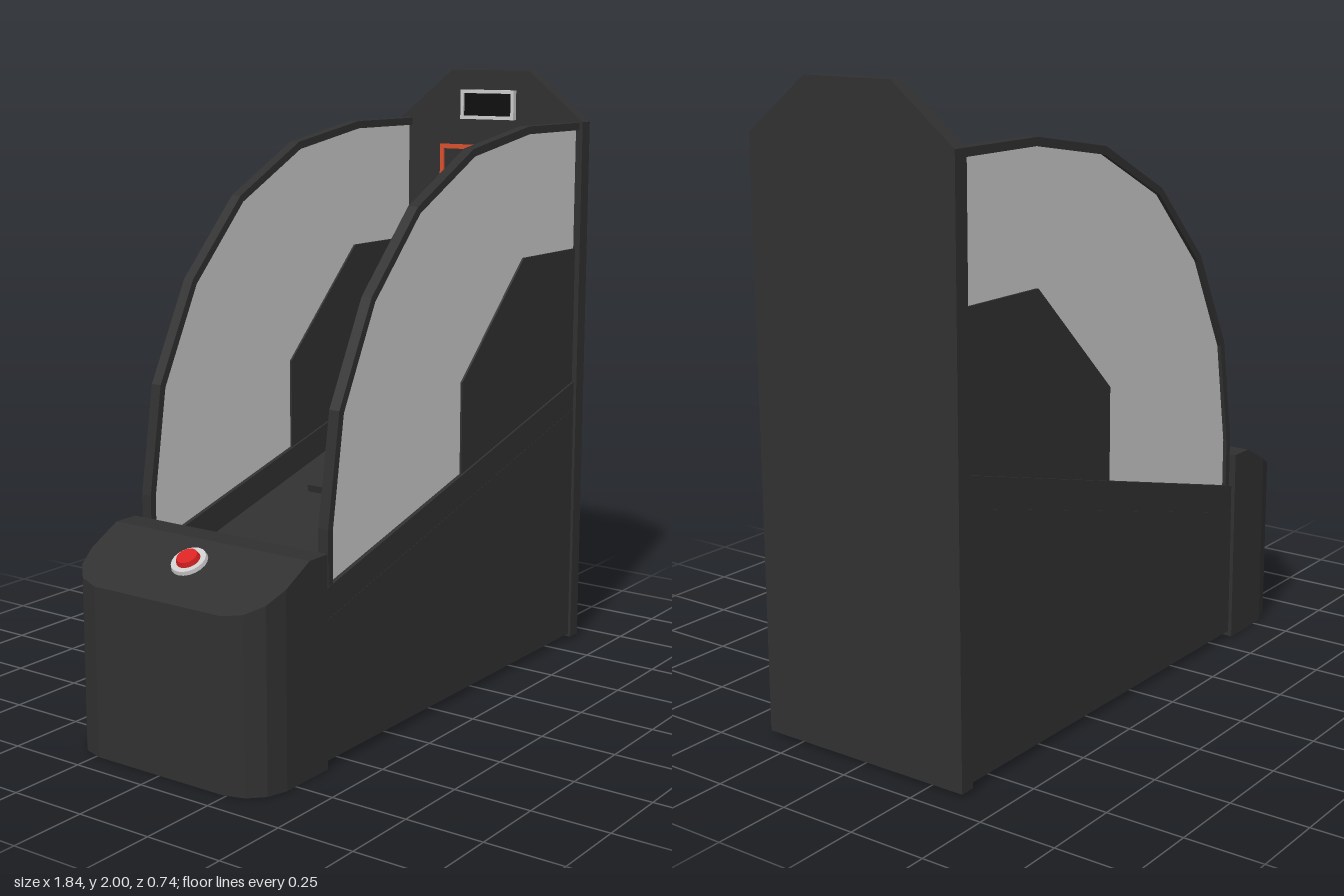
import * as THREE from 'three';

const material = (color, extra = {}) => new THREE.MeshStandardMaterial({ color, flatShading: true, ...extra });
const dark = material(0x303030);
const black = material(0x0c0c0c);
const grey = material(0xcccccc);
const orange = material(0xd8502c);
const red = material(0xd82222);

function add(parent, name, geometry, mat, x = 0, y = 0, z = 0) {
  const mesh = new THREE.Mesh(geometry, mat);
  mesh.name = name;
  mesh.position.set(x, y, z);
  parent.add(mesh);
  return mesh;
}

const outline = pts => new THREE.Shape(pts.map(p => new THREE.Vector2(...p)));

// Slab with an x-y outline, centred on z = 0
function slab(pts, depth) {
  const g = new THREE.ExtrudeGeometry(outline(pts), { depth, bevelEnabled: false });
  return g.translate(0, 0, -depth / 2);
}

// Plate with a z-y outline, growing towards +x
function plate(shape, depth) {
  return new THREE.ExtrudeGeometry(shape, { depth, bevelEnabled: false }).rotateY(Math.PI / 2);
}

// Rectangular border in the z-y plane
function border(halfWidth, low, high, line, depth) {
  const w = halfWidth, i = w - line;
  const shape = outline([[-w, low], [w, low], [w, high], [-w, high]]);
  shape.holes.push(outline([[-i, low + line], [-i, high - line], [i, high - line], [i, low + line]]));
  return plate(shape, depth);
}

const FRONT = -0.59, BACK = 0.865;
const rampY = x => 0.45 + (x - FRONT) * 0.268;
const railY = x => rampY(x) + 0.095;
const slope = Math.atan(0.268);

// Outer and inner edge of the curved rim around each side window
const rimOuter = [[-0.575, 0.55], [-0.575, 0.72], [-0.52, 1.06], [-0.36, 1.37],
  [-0.12, 1.615], [0.19, 1.772], [0.53, 1.828], [BACK, 1.828]];
const rimInner = [[-0.552, 0.55], [-0.552, 0.715], [-0.498, 1.05], [-0.342, 1.355],
  [-0.107, 1.595], [0.198, 1.748], [0.533, 1.803], [BACK, 1.803]];

function createSide(sign) {
  const side = new THREE.Group();
  side.name = sign > 0 ? 'leftSide' : 'rightSide';
  side.position.z = sign * 0.34;
  add(side, 'lowerWall', slab([[FRONT, 0.02], [BACK, 0.02], [BACK, rampY(BACK)], [FRONT, rampY(FRONT)]], 0.04), dark);
  add(side, 'rail', slab([[FRONT, rampY(FRONT)], [BACK, rampY(BACK)], [BACK, railY(BACK)], [FRONT, railY(FRONT)]], 0.038), dark);
  add(side, 'windowRim', slab([...rimOuter, ...rimInner.slice().reverse()], 0.036), dark);
  add(side, 'window', slab([...rimInner, [BACK, railY(BACK)]], 0.01), grey);
  add(side, 'sideGuard', slab([[0.15, railY(0.15)], [BACK, railY(BACK)], [BACK, 1.4], [0.52, 1.4], [0.15, 1.04]], 0.024), dark);
  return side;
}

function createConsole() {
  const group = new THREE.Group();
  group.name = 'console';
  const topY = x => 0.53 + (x + 0.92) * 0.52;

  // Rounded nose with a sloping top
  const half = [[-0.68, 0.37], [-0.79, 0.37], [-0.855, 0.35], [-0.9, 0.305], [-0.92, 0.24]];
  const plan = [...half, ...half.map(([x, z]) => [x, -z]).reverse()];
  const nose = new THREE.ExtrudeGeometry(outline(plan), { depth: 1, bevelEnabled: false }).rotateX(-Math.PI / 2);
  const p = nose.attributes.position;
  for (let i = 0; i < p.count; i++) p.setY(i, p.getY(i) > 0.5 ? topY(p.getX(i)) : 0);
  nose.computeVertexNormals();
  add(group, 'consoleNose', nose, dark);
  add(group, 'consoleBack', new THREE.BoxGeometry(0.085, 0.655, 0.74), dark, -0.6375, 0.3275);

  // Start button lying on the slope
  const button = new THREE.Group();
  button.name = 'button';
  button.position.set(-0.77, topY(-0.77), 0);
  button.rotation.z = Math.atan(0.52);
  add(button, 'buttonRing', new THREE.CylinderGeometry(0.054, 0.058, 0.016, 20), grey, 0, 0.004);
  add(button, 'buttonCap', new THREE.CylinderGeometry(0.032, 0.042, 0.03, 20), red, 0, 0.012);
  group.add(button);
  return group;
}

function createBackboard() {
  const group = new THREE.Group();
  group.name = 'backboard';
  const board = outline([[-0.37, 0.01], [0.37, 0.01], [0.37, 1.83], [0.155, 2], [-0.155, 2], [-0.37, 1.83]]);
  add(group, 'board', plate(board, 0.05), dark, BACK);
  add(group, 'targetSquare', border(0.2, 1.4, 1.74, 0.016, 0.006), orange, BACK - 0.005);
  add(group, 'displayFrame', border(0.108, 1.83, 1.932, 0.012, 0.02), grey, BACK - 0.018);
  add(group, 'displayScreen', new THREE.BoxGeometry(0.012, 0.08, 0.195), black, BACK - 0.005, 1.881);

  // Hoop and its mount
  const hoop = new THREE.TorusGeometry(0.144, 0.01, 8, 18).rotateX(Math.PI / 2);
  add(group, 'hoop', hoop, orange, 0.693, 1.37);
  add(group, 'hoopMount', new THREE.BoxGeometry(0.03, 0.02, 0.06), orange, 0.85, 1.37);
  return group;
}

export function createModel() {
  const model = new THREE.Group();
  model.name = 'basketballArcade';
  model.add(createSide(1), createSide(-1), createConsole(), createBackboard());

  // Sloping ball ramp above the open underside
  const rampEdge = [[FRONT, rampY(FRONT) - 0.03], [BACK, rampY(BACK) - 0.03], [BACK, rampY(BACK)], [FRONT, rampY(FRONT)]];
  add(model, 'ramp', slab(rampEdge, 0.645), dark);
  const pad = add(model, 'rampPad', new THREE.BoxGeometry(0.166, 0.03, 0.385), dark, 0.14, rampY(0.14) + 0.01);
  pad.rotation.z = slope;
  return model;
}
